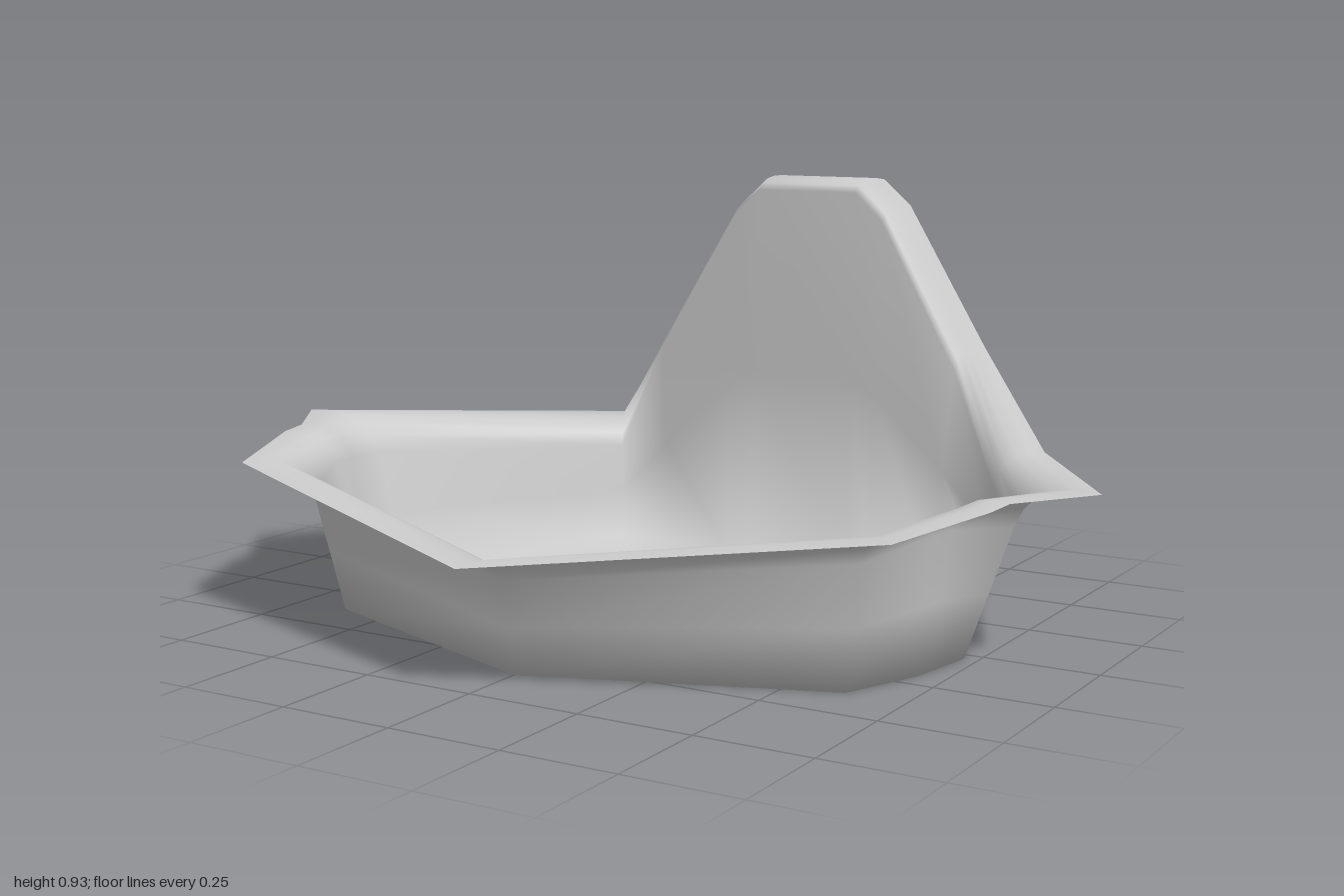
import * as THREE from 'three';

// Each column of the half outline: floor edge, top of wall, outer rim (x, y, z)
const HALF = [
  [[0, 0, 0.6], [0, 0.2, 0.64], [0, 0.255, 0.79]],
  [[0.62, 0, 0.37], [0.67, 0.27, 0.41], [0.78, 0.34, 0.515]],
  [[0.69, 0, 0.2], [0.74, 0.3, 0.25], [0.87, 0.365, 0.27]],
  [[0.7, 0, 0.15], [0.75, 0.3, 0.18], [0.88, 0.37, 0.2]],
  [[0.72, 0, 0.03], [0.81, 0.28, 0], [1, 0.37, 0.025]],
  [[0.5, 0, -0.6], [0.51, 0.23, -0.61], [0.585, 0.295, -0.74]],
  [[0.36, 0, -0.6], [0.4, 0.49, -0.625], [0.41, 0.53, -0.78]],
  [[0.2, 0, -0.6], [0.2, 0.83, -0.64], [0.2, 0.86, -0.8]],
  [[0.13, 0, -0.6], [0.13, 0.895, -0.64], [0.13, 0.92, -0.8]],
];

// Points up one column: straight wall, then a curl out to the rim
function column([floor, wall, rim]) {
  const f = new THREE.Vector3(...floor);
  const w = new THREE.Vector3(...wall);
  const r = new THREE.Vector3(...rim);
  const bend = w.clone().lerp(r, 0.2).setY(r.y + 0.02);
  const curl = new THREE.QuadraticBezierCurve3(w, bend, r).getPoints(5);
  return [f, f.clone().lerp(w, 0.5), ...curl];
}

export function createModel() {
  const group = new THREE.Group();

  // Mirror the half outline into a closed loop
  const mirrored = HALF.slice(1).reverse()
    .map((c) => c.map(([x, y, z]) => [-x, y, z]));
  const columns = [...HALF, ...mirrored].map(column);
  const n = columns.length;
  const rows = columns[0].length;

  const positions = [];
  const index = [];
  columns.forEach((c) => c.forEach((p) => positions.push(p.x, p.y, p.z)));

  // Floor centre
  const centre = n * rows;
  positions.push(0, 0, 0);

  for (let i = 0; i < n; i++) {
    const a = i * rows;
    const b = ((i + 1) % n) * rows;
    index.push(centre, a, b);
    for (let j = 0; j < rows - 1; j++) {
      index.push(a + j, a + j + 1, b + j + 1, a + j, b + j + 1, b + j);
    }
  }

  const geometry = new THREE.BufferGeometry();
  geometry.setAttribute('position', new THREE.Float32BufferAttribute(positions, 3));
  geometry.setIndex(index);
  geometry.computeVertexNormals();

  // Thin basin with a tall back and a flared rim
  const basin = new THREE.Mesh(geometry, new THREE.MeshStandardMaterial({
    color: 0xcccccc, side: THREE.DoubleSide,
  }));
  basin.name = 'basinShell';
  group.add(basin);
  return group;
}
